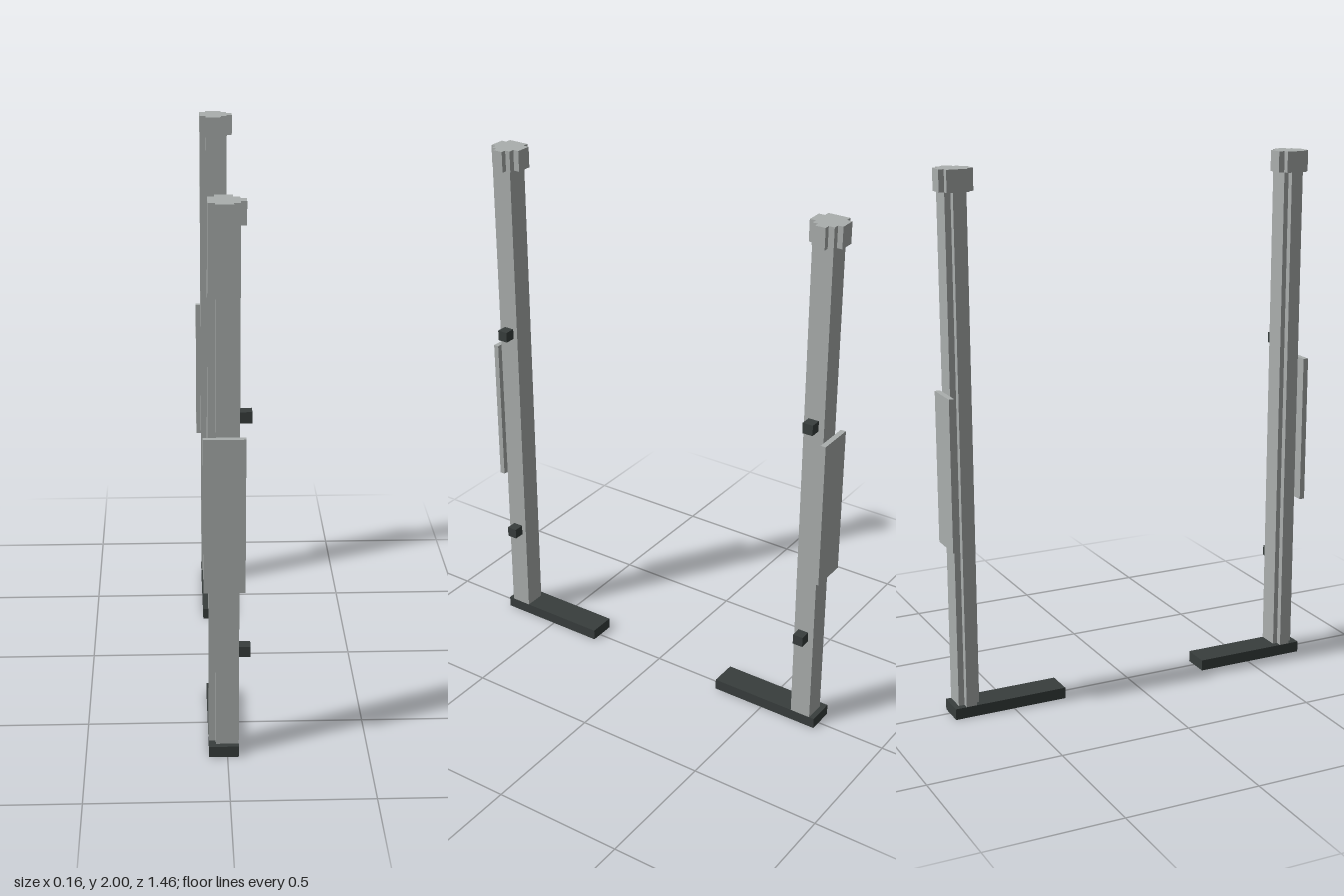
import * as THREE from 'three';

const grey = new THREE.MeshStandardMaterial({ color: 0xaaaead });
grey.name = 'aluminium grey';
const dark = new THREE.MeshStandardMaterial({ color: 0x383e3d });
dark.name = 'rubber black';

// box given by its bounds
function box(name, mat, x0, x1, y0, y1, z0, z1) {
  const mesh = new THREE.Mesh(new THREE.BoxGeometry(x1 - x0, y1 - y0, z1 - z0), mat);
  mesh.position.set((x0 + x1) / 2, (y0 + y1) / 2, (z0 + z1) / 2);
  mesh.name = name;
  return mesh;
}

// upright prism from an [x, z] outline; side = 1 or -1 mirrors it in z
function prism(name, outline, y0, y1, side) {
  const shape = new THREE.Shape(outline.map(([x, z]) => new THREE.Vector2(x, -z * side)));
  const geo = new THREE.ExtrudeGeometry(shape, { depth: y1 - y0, bevelEnabled: false });
  geo.rotateX(-Math.PI / 2).translate(0, y0, 0);
  const mesh = new THREE.Mesh(geo, grey);
  mesh.name = name;
  return mesh;
}

// square post with a narrow rail along its -x side
const postOutline = [
  [0.04, 0.63], [0.04, 0.71], [-0.041, 0.71], [-0.041, 0.688],
  [-0.065, 0.688], [-0.065, 0.648], [-0.041, 0.648], [-0.041, 0.63],
];

// cap with tongues on three sides
const capOutline = [
  [0.018, 0.605], [0.018, 0.628], [0.04, 0.628], [0.04, 0.648], [0.06, 0.648], [0.06, 0.688],
  [0.04, 0.688], [0.04, 0.71], [0.018, 0.71], [0.018, 0.73], [-0.042, 0.73], [-0.042, 0.71],
  [-0.065, 0.71], [-0.065, 0.628], [-0.042, 0.628], [-0.042, 0.605],
];

function createStand(side) {
  const stand = new THREE.Group();
  stand.name = side > 0 ? 'frontStand' : 'backStand';
  const span = (a, b) => (side > 0 ? [a, b] : [-b, -a]);
  stand.add(
    box('foot', dark, -0.065, 0.04, 0, 0.042, ...span(0.293, 0.73)),
    prism('post', postOutline, 0.042, 1.925, side),
    prism('cap', capOutline, 1.922, 2, side),
    box('sidePlate', grey, -0.083, 0.06, 0.65, 1.212, ...span(0.71, 0.73)),
  );
  // small blocks on the +x side
  for (const y of [0.398, 1.272]) {
    stand.add(box('knob', dark, 0.04, 0.081, y - 0.02, y + 0.02, ...span(0.648, 0.688)));
  }
  return stand;
}

export function createModel() {
  const model = new THREE.Group();
  model.name = 'pairOfStands';
  model.add(createStand(1), createStand(-1));
  return model;
}
